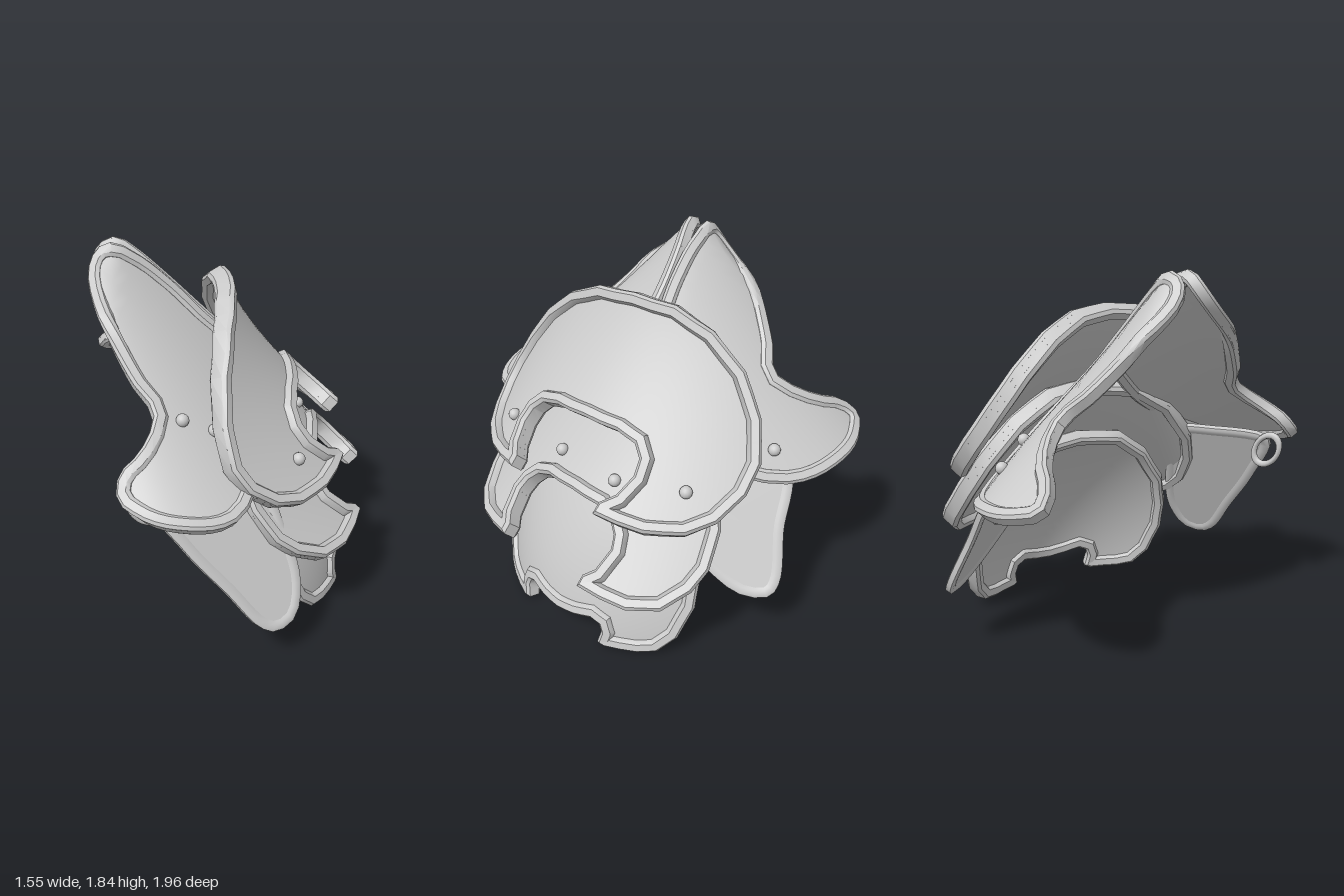
import * as THREE from 'three';
import { toCreasedNormals } from 'three/addons/utils/BufferGeometryUtils.js';

const material = new THREE.MeshStandardMaterial({ color: 0xcccccc, side: THREE.DoubleSide });

function makeGeometry(positions) {
  const g = new THREE.BufferGeometry();
  g.setAttribute('position', new THREE.Float32BufferAttribute(positions, 3));
  return g;
}

// Unit normal of a surface function (u, v) -> point
function normalAt(surface, u, v) {
  const e = 1e-3, p = surface(u, v);
  const du = surface(u + e, v).sub(p), dv = surface(u, v + e).sub(p);
  return du.cross(dv).normalize();
}

// Curved panel: triangulate the outline, halve long edges, lay both faces on the surface
function panelGeometry(outline, surface, half) {
  const out = [], normals = [];
  const emit = (a, b, c) => {
    const ab = a.distanceTo(b), bc = b.distanceTo(c), ca = c.distanceTo(a), longest = Math.max(ab, bc, ca);
    if (longest > 0.07) {
      if (longest === bc) [a, b, c] = [b, c, a];
      else if (longest === ca) [a, b, c] = [c, a, b];
      const m = a.clone().lerp(b, 0.5);
      emit(a, m, c);
      emit(m, b, c);
      return;
    }
    for (const [tri, s] of [[[a, b, c], 1], [[a, c, b], -1]]) {
      for (const q of tri) {
        const n = normalAt(surface, q.x, q.y).multiplyScalar(s);
        out.push(...surface(q.x, q.y).addScaledVector(n, half).toArray());
        normals.push(n.x, n.y, n.z);
      }
    }
  };
  for (const f of THREE.ShapeUtils.triangulateShape(outline, [])) emit(...f.map(i => outline[i]));
  const g = makeGeometry(out);
  g.setAttribute('normal', new THREE.Float32BufferAttribute(normals, 3));
  return g;
}

// Raised border: a bevelled section swept along the outline
function rimGeometry(outline, surface, width, half, inner) {
  const b = 0.014, n = outline.length;
  const section = [[0, -half * 0.65], [0, half * 0.65], [b, half], [width - b, half * 0.9],
    [width, inner], [width, -inner], [width - b, -half * 0.9], [b, -half]];
  const pts = outline.map(q => surface(q.x, q.y));
  const rings = pts.map((p, i) => {
    const d1 = p.clone().sub(pts[(i + n - 1) % n]).normalize();
    const d2 = pts[(i + 1) % n].clone().sub(p).normalize();
    const t = d1.clone().add(d2).normalize();
    const normal = normalAt(surface, outline[i].x, outline[i].y);
    const inward = normal.clone().cross(t).normalize().divideScalar(Math.max(0.65, t.dot(d1)));
    return section.map(([s, h]) => p.clone().addScaledVector(inward, s).addScaledVector(normal, h));
  });
  const out = [];
  for (let i = 0; i < n; i++) {
    const r = rings[i], s = rings[(i + 1) % n];
    for (let j = 0; j < section.length; j++) {
      const k = (j + 1) % section.length;
      for (const p of [r[j], s[k], s[j], r[j], r[k], s[k]]) out.push(p.x, p.y, p.z);
    }
  }
  return toCreasedNormals(makeGeometry(out), 0.6);
}

function plate(name, outline, surface, { width = 0.065, half = 0.052, inner = 0.015, rivets = [], side = 1 } = {}) {
  const group = new THREE.Group();
  group.name = name;
  const add = (part, geometry) => {
    const mesh = new THREE.Mesh(geometry, material);
    mesh.name = part;
    group.add(mesh);
    return mesh;
  };
  add('panel', panelGeometry(outline, surface, inner));
  add('rim', rimGeometry(outline, surface, width, half, inner));
  for (const [u, v] of rivets) {
    const p = surface(u, v).addScaledVector(normalAt(surface, u, v), side * (inner + 0.008));
    add('rivet', new THREE.SphereGeometry(0.031, 14, 10)).position.copy(p);
  }
  return group;
}

// Outline helpers: mirrored polyline (top centre to notch centre) and closed smooth curve
function mirrored(half) {
  const left = half.map(([u, v]) => new THREE.Vector2(-u, v));
  const right = half.slice(1, -1).reverse().map(([u, v]) => new THREE.Vector2(u, v));
  const all = [...left, ...right];
  return all.flatMap((p, i) => [p, p.clone().lerp(all[(i + 1) % all.length], 0.5)]);
}
function smooth(points, count) {
  const curve = new THREE.CatmullRomCurve3(points.map(([x, y]) => new THREE.Vector3(x, y, 0)), true);
  return curve.getSpacedPoints(count).slice(0, -1).map(p => new THREE.Vector2(p.x, p.y));
}

// Arched plate surface: a parabola through three [y, x] points, falling away to both sides
function arch(zc, [[y0, x0], [y1, x1], [y2, x2]], bulge, yaw, twist = 0) {
  return (u, y) => {
    const x = x0 * (y - y1) * (y - y2) / ((y0 - y1) * (y0 - y2))
      + x1 * (y - y0) * (y - y2) / ((y1 - y0) * (y1 - y2))
      + x2 * (y - y0) * (y - y1) / ((y2 - y0) * (y2 - y1));
    return new THREE.Vector3(x - bulge * u * u - (yaw + twist * (y - 1)) * u, y, zc - u);
  };
}

// Wing surface: hangs from a sloping ridge and spreads outward as it drops
function wing(side) {
  const flare = side > 0 ? 0.2 : 0.06;
  return (x, y) => {
    const ridge = 1.87 - Math.hypot(x + 0.5, 0.03);
    const t = (ridge - y) / (ridge - 0.87);
    const spread = 0.97 * t * (1 + flare * (1 - t)) * (1 - 1.8 * (x + 0.18) ** 2);
    const skew = -0.15 * (x + 0.5) * (1 - t);
    return side > 0
      ? new THREE.Vector3(x, y, 0.03 + spread + skew)
      : new THREE.Vector3(x - 0.45 * Math.max(t, 0) ** 1.4 * (0.75 - 0.8 * x), y - 0.03 * t, -0.025 - spread + skew);
  };
}

export function createModel() {
  const model = new THREE.Group();
  model.name = 'layeredArmour';

  // Three overlapping arched plates
  model.add(plate('upperPlate', mirrored([[0, 1.65], [0.2, 1.63], [0.38, 1.54], [0.55, 1.385], [0.68, 1.2],
    [0.76, 1.03], [0.77, 0.92], [0.73, 0.83], [0.65, 0.79], [0.5, 0.79], [0.27, 0.825], [0.27, 0.865],
    [0.32, 0.9], [0.345, 0.97], [0.33, 1.03], [0.28, 1.08], [0.18, 1.11], [0, 1.12]]),
  arch(-0.055, [[1.67, 0.01], [1.17, 0.33], [0.85, 0.64]], 0.68, 0.035, 0.22),
  { rivets: [[-0.485, 0.935], [0.565, 0.935]] }));

  model.add(plate('middlePlate', mirrored([[0, 1.25], [0.25, 1.22], [0.45, 1.1], [0.62, 0.9], [0.69, 0.75],
    [0.72, 0.6], [0.7, 0.52], [0.63, 0.45], [0.5, 0.44], [0.26, 0.48], [0.26, 0.52], [0.3, 0.55],
    [0.32, 0.63], [0.3, 0.68], [0.25, 0.73], [0.17, 0.76], [0, 0.77]]),
  arch(-0.08, [[1.25, 0.13], [0.88, 0.4], [0.5, 0.76]], 0.63, -0.04),
  { rivets: [[-0.18, 0.865], [0.18, 0.865]] }));

  model.add(plate('lowerPlate', mirrored([[0, 0.95], [0.25, 0.92], [0.42, 0.8], [0.55, 0.62], [0.6, 0.45],
    [0.61, 0.3], [0.57, 0.13], [0.5, 0.04], [0.42, 0.02], [0.27, 0.015], [0.235, 0.03], [0.25, 0.1],
    [0.235, 0.14], [0.19, 0.16], [0.1, 0.14], [0, 0.13]]),
  arch(-0.1, [[0.95, 0.25], [0.5, 0.53], [0.05, 0.66]], 0.7, 0.02), { half: 0.04 }));

  // Pair of wings meeting at the ridge
  const wingOutline = smooth([[-0.5, 1.84], [-0.57, 1.79], [-0.59, 1.7], [-0.5, 1.53], [-0.36, 1.34],
    [-0.25, 1.22], [-0.29, 1.12], [-0.37, 1.04], [-0.37, 0.96], [-0.28, 0.92], [-0.1, 0.885], [0.16, 0.86],
    [0.22, 0.91], [0.17, 1.08], [0.08, 1.25], [0.01, 1.365], [-0.1, 1.48], [-0.25, 1.64], [-0.4, 1.78]], 60);
  model.add(plate('frontWing', wingOutline, wing(1),
    { half: 0.034, rivets: [[-0.13, 1.18], [0.01, 1.11]] }));
  model.add(plate('backWing', wingOutline, wing(-1),
    { half: 0.034, side: -1, rivets: [[0.03, 0.98], [0.06, 1.06]] }));

  // Hanging flaps below the wings
  const flapStyle = { half: 0.02, inner: 0.012, width: 0.05 };
  model.add(plate('frontFlap', smooth([[-0.25, 0.92], [-0.1, 0.68], [0.1, 0.44], [0.26, 0.25], [0.34, 0.21],
    [0.42, 0.24], [0.44, 0.38], [0.36, 0.62], [0.2, 0.92], [0, 0.95]], 44),
  (x, y) => new THREE.Vector3(x, y, 0.82 - 0.9 * ((x + 0.15) * 0.76 + (y - 0.75) * 0.65)), flapStyle));
  model.add(plate('backFlap', smooth([[-0.22, 0.9], [-0.1, 0.6], [0, 0.37], [0.06, 0.31], [0.14, 0.32],
    [0.2, 0.42], [0.24, 0.65], [0.22, 0.92], [0, 0.94]], 44),
  (x, y) => new THREE.Vector3(x, y,
    -0.82 - 0.3 * (0.85 - y) + 1.2 * (x + 0.2 - 0.42 * (0.85 - y))), flapStyle));

  // Hanging rings under the wings
  for (const [x, y, z, name] of [[-0.27, 0.86, 0.76, 'frontRing'], [-0.21, 0.81, -0.8, 'backRing']]) {
    const ring = new THREE.Mesh(new THREE.TorusGeometry(0.075, 0.017, 8, 24), material);
    ring.name = name;
    ring.position.set(x, y, z);
    ring.rotation.set(0, z > 0 ? 0.4 : -0.4, 0.6);
    ring.scale.set(0.85, 1.2, 1);
    model.add(ring);
  }
  return model;
}
